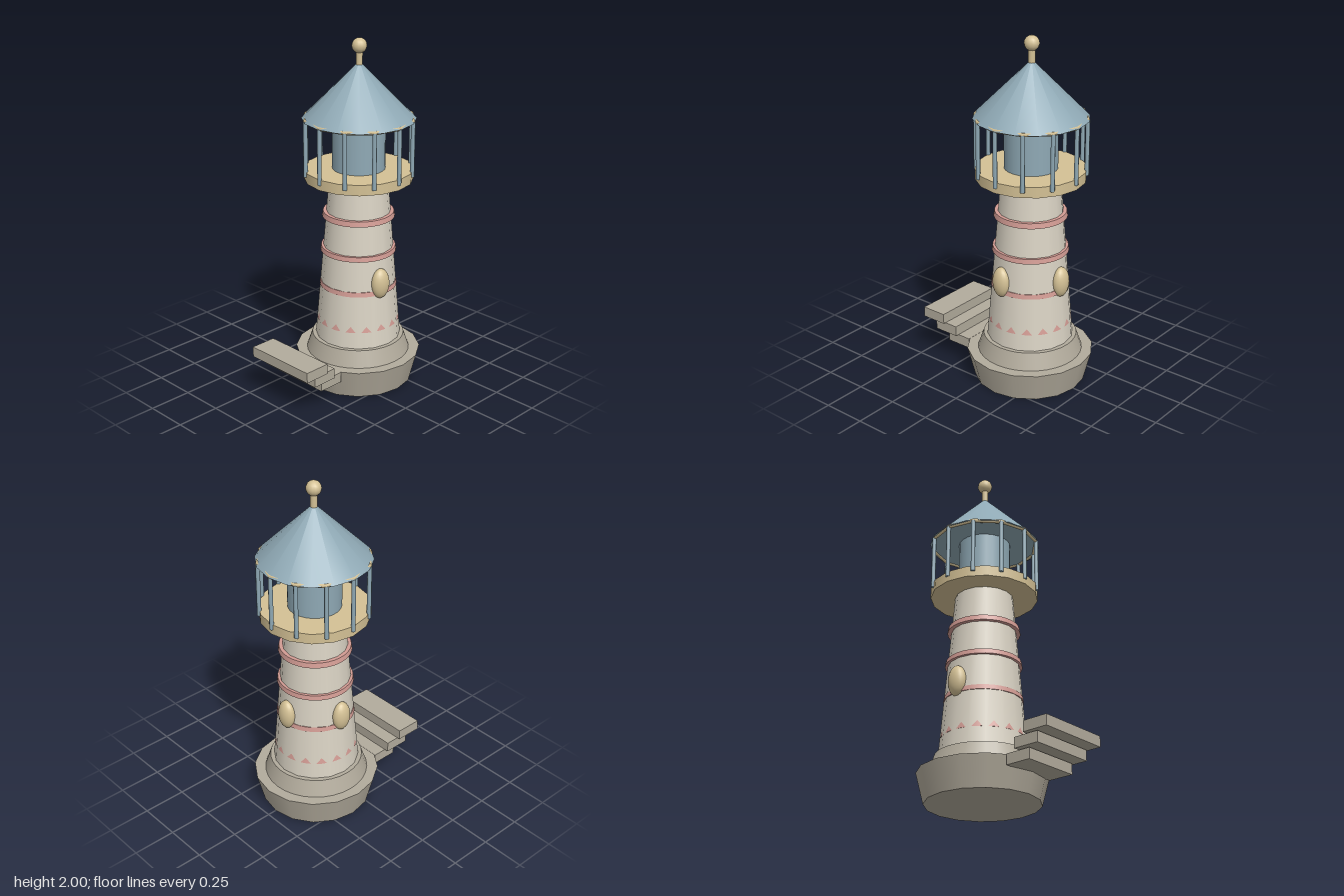
import * as THREE from 'three';

const mat = (name, color) => {
  const m = new THREE.MeshStandardMaterial({ color });
  m.name = name;
  return m;
};

export function createModel() {
  const stone = mat('stone grey', 0xb2ab9c);
  const cream = mat('tower cream', 0xdad3c4);
  const pink = mat('band pink', 0xd39c94);
  const sand = mat('sand yellow', 0xd4c195);
  const blue = mat('slate blue', 0x8fa9b5);

  const model = new THREE.Group();
  model.name = 'lighthouse';
  // Everything round stands on one axis, set back to leave room for the stairs
  const tower = new THREE.Group();
  tower.name = 'towerBody';
  tower.position.z = -0.13;
  model.add(tower);

  const add = (parent, name, geometry, material, x, y, z) => {
    const mesh = new THREE.Mesh(geometry, material);
    mesh.name = name;
    mesh.position.set(x, y, z);
    parent.add(mesh);
    return mesh;
  };
  // Upright cylinder between two heights
  const drum = (name, material, y0, y1, r0, r1, sides = 16, x = 0, z = 0) =>
    add(tower, name, new THREE.CylinderGeometry(r1, r0, y1 - y0, sides), material, x, (y0 + y1) / 2, z);

  // Foundation and shaft
  drum('foundation', stone, 0, 0.17, 0.317, 0.36);
  drum('plinth', stone, 0.17, 0.265, 0.297, 0.265, 32);
  drum('shaft', cream, 0.265, 1.21, 0.244, 0.165);

  // Painted bands; the lowest only shows as teeth on the shaft faces
  drum('toothedBand', pink, 0.36, 0.4, 0.2345, 0.2278, 32);
  drum('lowerBand', pink, 0.575, 0.602, 0.221, 0.217, 32);
  drum('middleBand', pink, 0.785, 0.813, 0.215, 0.211, 32);
  drum('upperBand', pink, 0.99, 1.02, 0.205, 0.2, 32);

  // Oval windows on both sides and the back
  for (const [name, angle] of [['leftWindow', 0.18], ['rightWindow', Math.PI], ['backWindow', -Math.PI / 2]]) {
    const oval = add(tower, name, new THREE.SphereGeometry(1, 20, 14), sand,
      0.213 * Math.cos(angle), 0.643, 0.213 * Math.sin(angle));
    oval.scale.set(0.043, 0.088, 0.056);
    oval.rotation.y = -angle;
  }

  // Gallery, lantern room and railing posts
  drum('galleryDeck', sand, 1.21, 1.27, 0.305, 0.305);
  drum('lanternRoom', blue, 1.27, 1.556, 0.148, 0.148, 24);
  for (let i = 0; i < 12; i++) {
    const a = (i * Math.PI) / 6;
    drum('galleryPost', blue, 1.24, 1.556, 0.012, 0.012, 8, 0.303 * Math.cos(a), 0.303 * Math.sin(a));
  }
  const eave = add(tower, 'eaveRing', new THREE.TorusGeometry(0.303, 0.011, 6, 12), sand, 0, 1.557, 0);
  eave.rotation.x = Math.PI / 2;

  // Roof and finial
  drum('roof', blue, 1.555, 1.87, 0.316, 0.003);
  drum('finialRod', sand, 1.84, 1.94, 0.019, 0.019, 12);
  add(tower, 'finialBall', new THREE.SphereGeometry(0.042, 14, 10), sand, 0, 1.958, 0);

  // Stairs, each step higher, wider and further forward
  [0.173, 0.2, 0.221].forEach((half, i) =>
    add(model, 'step', new THREE.BoxGeometry(half * 2, 0.06, 0.152), stone, 0, 0.141 + i * 0.064, 0.261 + i * 0.076));

  return model;
}
